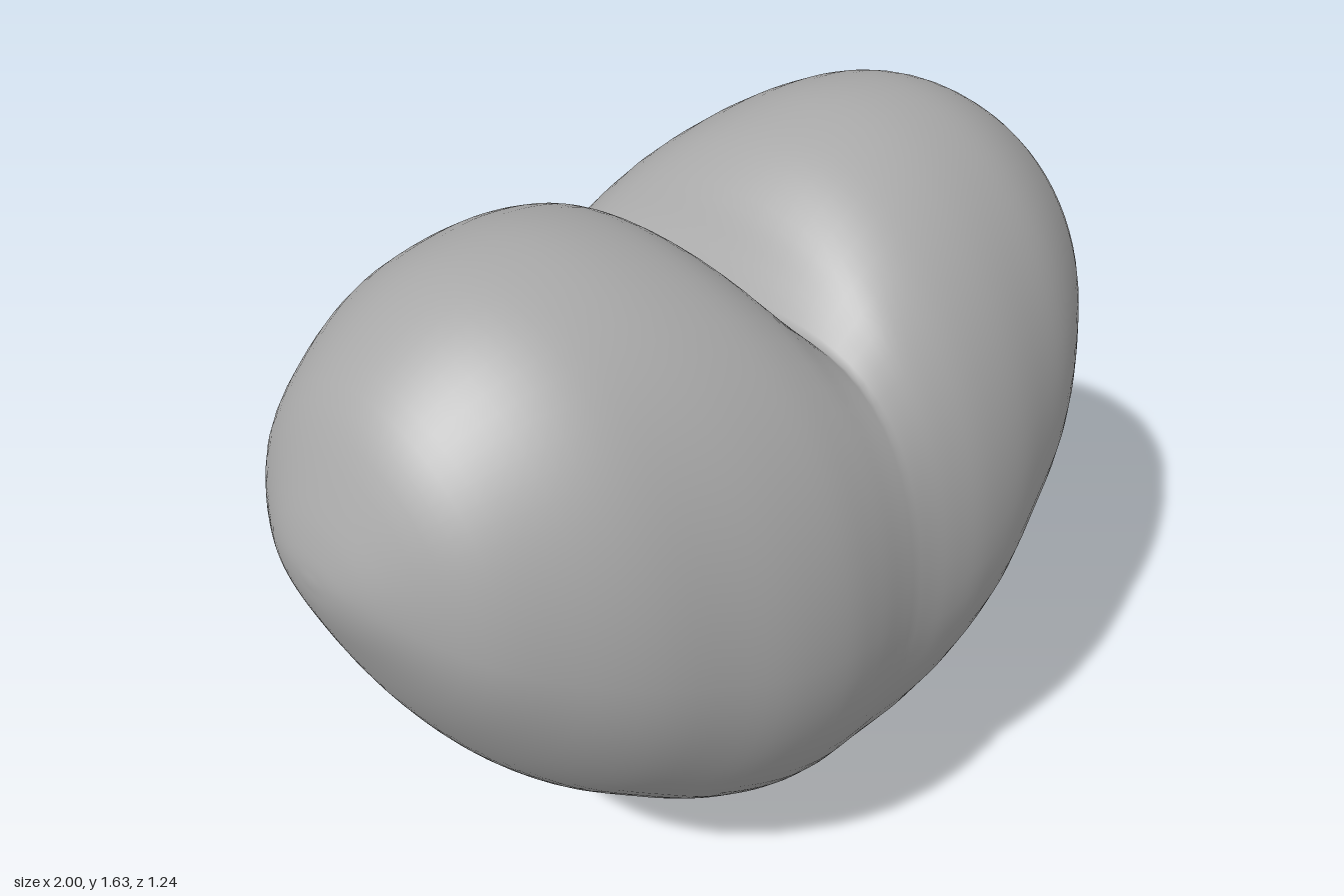
import * as THREE from 'three';
import { mergeVertices } from 'three/addons/utils/BufferGeometryUtils.js';

// Upright sections from the middle to the side: x, top, bottom, half depth, height of widest point
const STATIONS = [
  [0, 1.35, 0, 0.605, 0.85],
  [0.05, 1.42, 0.006, 0.608, 0.85],
  [0.12, 1.51, 0.035, 0.615, 0.85],
  [0.22, 1.58, 0.095, 0.618, 0.86],
  [0.35, 1.62, 0.19, 0.6, 0.88],
  [0.48, 1.63, 0.3, 0.56, 0.92],
  [0.62, 1.61, 0.43, 0.51, 0.97],
  [0.75, 1.55, 0.59, 0.435, 1.02],
  [0.87, 1.45, 0.79, 0.335, 1.08],
  [0.955, 1.3, 0.98, 0.19, 1.13],
  [0.99, 1.21, 1.08, 0.09, 1.15],
  [1, 1.15, 1.15, 0, 1.15],
];
const LOBE_TOP = 1.63;
const LOBE_X = 0.48;

function heartGeometry(steps = 44, around = 72) {
  const spline = (f) => new THREE.CatmullRomCurve3(STATIONS.map(f), false, 'catmullrom');
  const outline = spline((s) => new THREE.Vector3(s[0], s[1], s[2]));
  const girth = spline((s) => new THREE.Vector3(s[3], s[4], 0));
  const positions = [];
  const index = [];

  for (let i = -steps; i <= steps; i++) {
    const u = Math.abs(i) / steps;
    const { x, y: top, z: bottom } = outline.getPoint(u);
    const { x: depth, y: mid } = girth.getPoint(u);
    // The notch sinks only the upper part of the middle sections
    const dip = x < LOBE_X ? Math.max(0, LOBE_TOP - top) : 0;
    const taper = 1.5 - 0.4 * x;
    for (let j = 0; j < around; j++) {
      const a = (j / around) * Math.PI * 2;
      const s = Math.sin(a);
      const c = Math.cos(a);
      const upper = s >= 0;
      const y = upper ? mid + (top + dip - mid) * s - dip * s ** 3 : mid + (mid - bottom) * s;
      const z = depth * Math.sign(c) * Math.abs(c) ** (upper ? 1 : taper);
      positions.push(Math.sign(i) * x, y, z);
    }
  }

  // Join neighbouring sections
  for (let i = 0; i < steps * 2; i++) {
    for (let j = 0; j < around; j++) {
      const k = (j + 1) % around;
      const a = i * around + j;
      const b = a + around;
      const c = (i + 1) * around + k;
      const d = i * around + k;
      if (i < steps * 2 - 1) index.push(a, b, c);
      if (i > 0) index.push(a, c, d);
      else index.push(b, c, a);
      if (i === steps * 2 - 1) index.push(a, b, d);
    }
  }

  const geometry = new THREE.BufferGeometry();
  geometry.setAttribute('position', new THREE.Float32BufferAttribute(positions, 3));
  geometry.setIndex(index.filter((_, n) => n >= 0));
  const welded = mergeVertices(geometry, 1e-4);
  welded.computeVertexNormals();
  return welded;
}

export function createModel() {
  const grey = new THREE.MeshStandardMaterial({ color: 0xa8a8a8 });
  grey.name = 'grey';

  const heart = new THREE.Mesh(heartGeometry(), grey);
  heart.name = 'heart';

  const model = new THREE.Group();
  model.name = 'heartModel';
  model.add(heart);
  return model;
}
